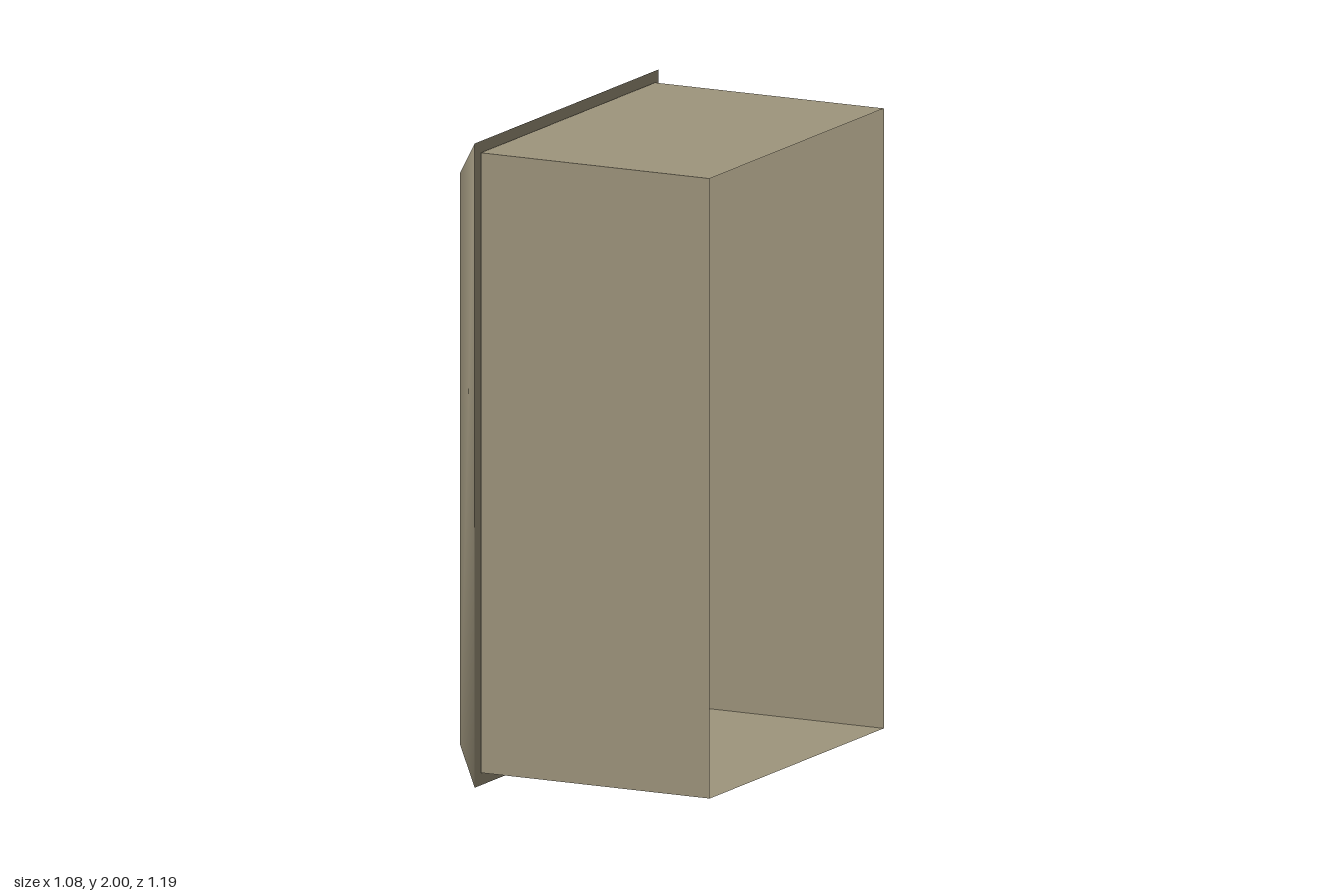
import * as THREE from 'three';
import { toCreasedNormals } from 'three/addons/utils/BufferGeometryUtils.js';

export function createModel() {
  const group = new THREE.Group();
  const beige = new THREE.MeshStandardMaterial({ color: 0x9e957d, side: THREE.DoubleSide });
  beige.name = 'beige';

  const add = (name, geometry) => {
    const mesh = new THREE.Mesh(geometry, beige);
    mesh.name = name;
    group.add(mesh);
    return mesh;
  };

  // Housing: four thin walls, open at both x ends
  const walls = new THREE.BoxGeometry(0.785, 1.925, 1.13);
  walls.setIndex(Array.from(walls.index.array).slice(12));
  walls.clearGroups();
  add('housingWalls', walls).position.set(0.1475, 1.0025, -0.003);

  // Cover plate: bevelled front with normals shared across the bevel
  const ring = (x, y, z) => [x, -y, -z, x, -y, z, x, y, z, x, y, -z];
  const plate = new THREE.BufferGeometry();
  plate.setAttribute('position', new THREE.Float32BufferAttribute(
    [...ring(-0.333, 0.888, 0.53), ...ring(-0.248, 1, 0.597)], 3));
  const index = [0, 1, 2, 0, 2, 3];
  for (let i = 0; i < 4; i++) {
    const j = (i + 1) % 4;
    index.push(i, i + 4, j + 4, i, j + 4, j);
  }
  plate.setIndex(index);
  plate.computeVertexNormals();
  add('coverPlate', plate).position.y = 1;

  // Flat back of the cover plate, seen inside the housing
  const back = new THREE.PlaneGeometry(1.194, 2).rotateY(Math.PI / 2);
  add('coverPlateBack', back).position.set(-0.248, 1, 0);

  // Toggle: rounded base and slanted lever in one profile
  const profile = [
    [-0.25, 1.24], [-0.333, 1.24], [-0.355, 1.2], [-0.37, 1.12], [-0.36, 1.038],
    [-0.54, 0.932], [-0.484, 0.836], [-0.333, 0.922], [-0.3, 0.88],
    [-0.243, 0.863], [-0.243, 0.892], [-0.25, 0.9],
  ];
  const shape = new THREE.Shape(profile.map(([x, y]) => new THREE.Vector2(x, y)));
  const toggle = new THREE.ExtrudeGeometry(shape, { depth: 0.144, bevelEnabled: false });
  add('toggleLever', toCreasedNormals(toggle, 0.6)).position.z = -0.073;

  return group;
}
